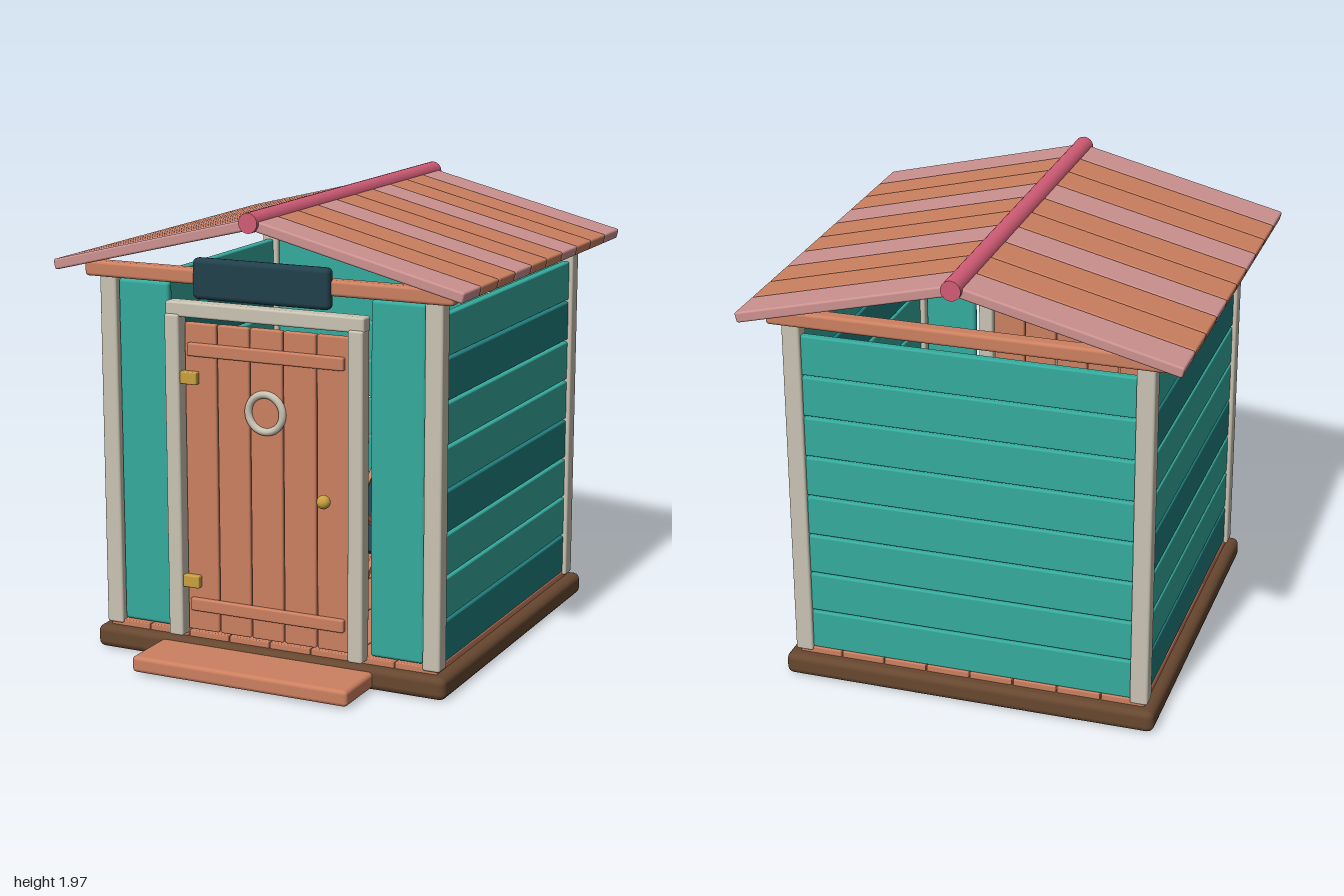
import * as THREE from 'three';
import { RoundedBoxGeometry } from 'three/addons/geometries/RoundedBoxGeometry.js';

const paint = (name, color) => {
  const m = new THREE.MeshStandardMaterial({ color });
  m.name = name;
  return m;
};

export function createModel() {
  const teal = paint('teal', 0x35ab9e);
  const deepTeal = paint('deep teal', 0x217f7f);
  const wood = paint('warm wood', 0xcc8060);
  const pink = paint('dusty pink', 0xcc9290);
  const rose = paint('rose', 0xd15c76);
  const cream = paint('cream', 0xc9c3b3);
  const brown = paint('dark brown', 0x674730);
  const navy = paint('navy', 0x21404b);
  const gold = paint('gold', 0xc9a040);

  const model = new THREE.Group();
  model.name = 'beachHut';
  const group = (name, parent = model) => {
    const g = new THREE.Group();
    g.name = name;
    parent.add(g);
    return g;
  };
  const add = (parent, name, geometry, material, x, y, z) => {
    const m = new THREE.Mesh(geometry, material);
    m.name = name;
    m.position.set(x, y, z);
    parent.add(m);
    return m;
  };
  // Softened box given by its limits on each axis
  const box = (parent, name, material, [x0, x1], [y0, y1], [z0, z1], r = 0.008) =>
    add(parent, name, new RoundedBoxGeometry(x1 - x0, y1 - y0, z1 - z0, 2, r), material,
      (x0 + x1) / 2, (y0 + y1) / 2, (z0 + z1) / 2);

  // Base, doorstep and floorboards
  box(model, 'base', brown, [-0.82, 0.82], [0, 0.098], [-0.89, 0.75], 0.03);
  box(model, 'doorstep', wood, [-0.5, 0.5], [0.01, 0.08], [0.66, 1.0], 0.018);
  const floor = group('floor');
  for (let i = 0; i < 8; i++) {
    const x = -0.77 + i * 0.193;
    box(floor, 'floorboard', wood, [x, x + 0.187], [0.09, 0.125], [-0.84, 0.705], 0.005);
  }

  // Corner posts and end beams
  const frame = group('frame');
  for (const s of [-1, 1]) {
    for (const z of [0.64, -0.85])
      box(frame, 'cornerPost', cream, s > 0 ? [0.708, 0.785] : [-0.785, -0.708], [0.11, 1.67], [z, z + 0.077], 0.01);
  }
  for (const z of [0.68, -0.88])
    box(frame, 'beam', wood, [-0.84, 0.84], [1.636, 1.702], [z, z + 0.066], 0.014);

  // Horizontal cladding on the sides and back
  const walls = group('walls');
  for (let i = 0; i < 8; i++) {
    const y = [0.123 + i * 0.1835, 0.298 + i * 0.1835];
    for (const s of [-1, 1])
      box(walls, 'sidePlank', i % 3 === 0 ? deepTeal : teal, s > 0 ? [0.73, 0.768] : [-0.768, -0.73], y, [-0.79, 0.655]);
    box(walls, 'backPlank', teal, [-0.722, 0.722], y, [-0.832, -0.795]);
  }

  // Upright panels beside the door
  box(walls, 'frontPanel', teal, [0.465, 0.705], [0.13, 1.628], [0.66, 0.7], 0.015);
  box(walls, 'frontPanel', teal, [-0.705, -0.465], [0.13, 1.628], [0.66, 0.7], 0.015);

  // Door surround
  const surround = group('doorSurround');
  box(surround, 'doorPost', cream, [0.388, 0.455], [0.11, 1.507], [0.685, 0.757], 0.01);
  box(surround, 'doorPost', cream, [-0.455, -0.388], [0.11, 1.507], [0.685, 0.757], 0.01);
  box(surround, 'lintel', cream, [-0.455, 0.455], [1.495, 1.56], [0.675, 0.745], 0.01);

  // Door boards, battens and fittings
  const door = group('door');
  for (let i = 0; i < 5; i++) {
    const x = -0.38 + i * 0.153;
    box(door, 'doorBoard', wood, [x, x + 0.147], [0.135, 1.47], [0.685, 0.717]);
  }
  for (const y of [0.225, 1.332])
    box(door, 'batten', wood, [-0.36, 0.36], [y, y + 0.056], [0.71, 0.738]);
  for (const y of [0.328, 1.212])
    box(door, 'hinge', gold, [-0.39, -0.313], [y, y + 0.054], [0.71, 0.745], 0.006);
  add(door, 'porthole', new THREE.TorusGeometry(0.079, 0.016, 12, 40), cream, 0, 1.12, 0.722);
  add(door, 'knob', new THREE.SphereGeometry(0.029, 20, 14), gold, 0.282, 0.784, 0.757);

  // Blank sign board
  box(model, 'signBoard', navy, [-0.312, 0.312], [1.58, 1.752], [0.715, 0.772], 0.022);

  // Roof slats on both slopes, every third one pink
  const roof = group('roof');
  const pitch = Math.atan2(0.228, 0.925);
  const slat = new RoundedBoxGeometry(0.953, 0.045, 0.181, 2, 0.009);
  for (let i = 0; i < 10; i++) {
    for (const s of [-1, 1])
      add(roof, 'roofSlat', slat, i % 3 === 0 ? pink : wood, s * 0.4625, 1.806, 0.759 - i * 0.183)
        .rotation.z = -s * pitch;
  }
  const ridge = add(roof, 'ridgePole', new THREE.CylinderGeometry(0.042, 0.042, 1.865, 24), rose, 0, 1.927, -0.0675);
  ridge.rotation.x = Math.PI / 2;

  // Small folding chair inside
  const chair = group('chair');
  const rail = (name, material, w, x, y0, z0, y1, z1) => {
    const m = add(chair, name, new THREE.BoxGeometry(w, 0.022, Math.hypot(y1 - y0, z1 - z0)), material,
      x, (y0 + y1) / 2, (z0 + z1) / 2);
    m.rotation.x = Math.atan2(y0 - y1, z1 - z0);
  };
  for (const x of [-0.09, 0.09]) {
    rail('chairBackRail', wood, 0.022, x, 0.135, 0.03, 0.68, -0.68);
    rail('chairLeg', wood, 0.022, x, 0.135, -0.6, 0.5, -0.05);
  }
  rail('chairSling', navy, 0.16, 0, 0.28, -0.2, 0.66, -0.65);
  box(chair, 'chairFoot', wood, [-0.09, 0.09], [0.127, 0.15], [0.01, 0.04], 0.005);

  return model;
}
